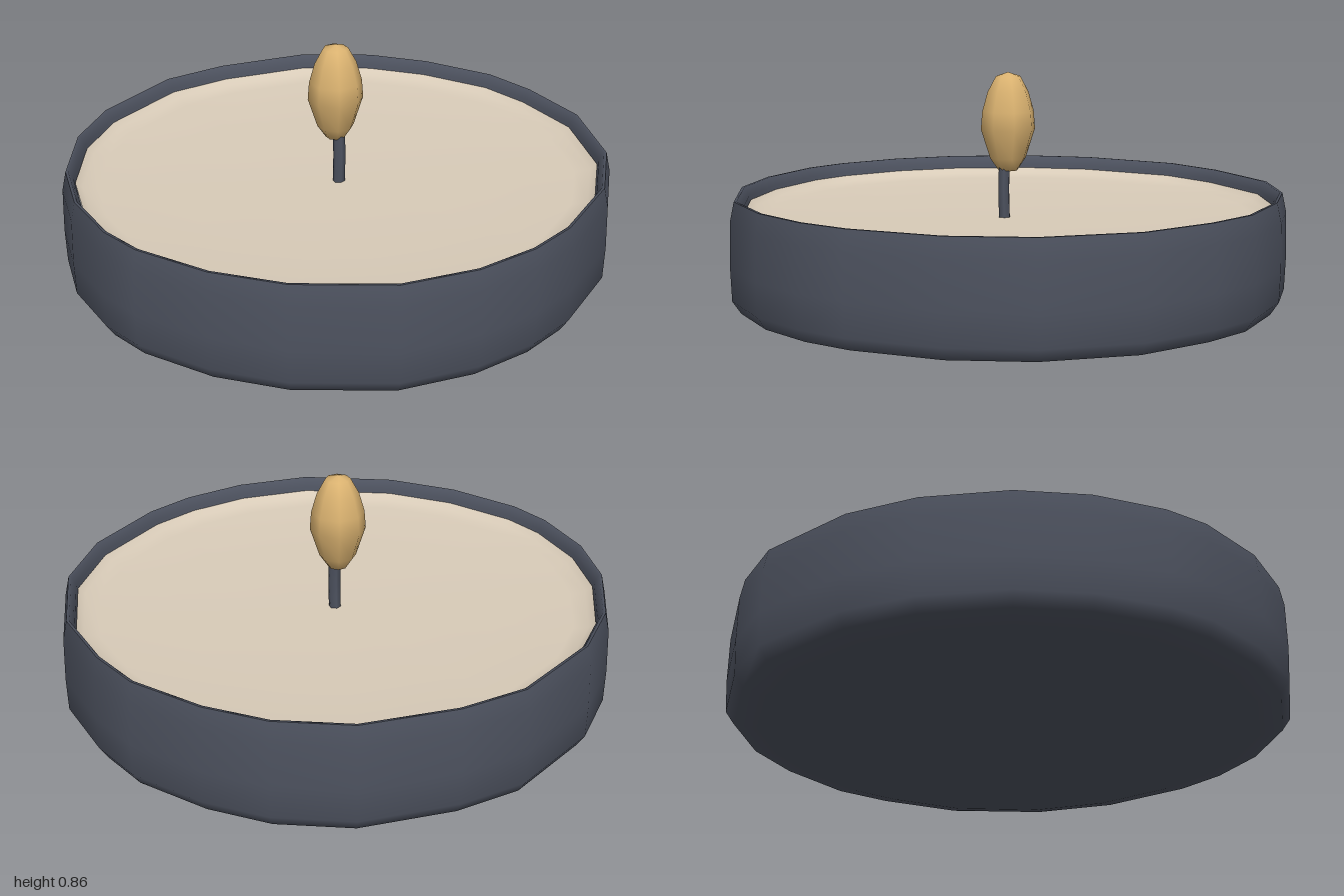
import * as THREE from 'three';
import { mergeVertices } from 'three/addons/utils/BufferGeometryUtils.js';

// Slightly irregular, hand-shaped outline of the cup in x, z
const outline = [
  [0.04, -1.0], [0.25, -0.96], [0.53, -0.85], [0.79, -0.61], [0.93, -0.34], [0.985, 0.0], [0.97, 0.2],
  [0.9, 0.43], [0.75, 0.67], [0.46, 0.88], [0.2, 0.97], [-0.09, 0.995], [-0.26, 0.965], [-0.5, 0.86],
  [-0.7, 0.7], [-0.88, 0.45], [-0.97, 0.2], [-0.985, -0.18], [-0.9, -0.42], [-0.71, -0.72],
  [-0.48, -0.885], [-0.25, -0.965],
];

// Skin a list of [scale, y] rings of the outline
function loft(rings) {
  const n = outline.length, pos = [], idx = [];
  for (const [s, y] of rings) for (const [x, z] of outline) pos.push(x * s, y, z * s);
  for (let r = 0; r < rings.length - 1; r++) {
    for (let i = 0; i < n; i++) {
      const a = r * n + i, b = r * n + (i + 1) % n;
      if (rings[r][0] > 0) idx.push(a, a + n, b);
      if (rings[r + 1][0] > 0) idx.push(b, a + n, b + n);
    }
  }
  let g = new THREE.BufferGeometry();
  g.setAttribute('position', new THREE.Float32BufferAttribute(pos, 3));
  g.setIndex(idx);
  g = mergeVertices(g);
  g.computeVertexNormals();
  return g;
}

export function createModel() {
  const metal = new THREE.MeshStandardMaterial({ color: 0x4d525f });
  const wax = new THREE.MeshStandardMaterial({ color: 0xd8cbb8 });
  const flame = new THREE.MeshStandardMaterial({ color: 0xdab270 });
  metal.name = 'darkMetal';
  wax.name = 'creamWax';
  flame.name = 'amberFlame';

  const group = new THREE.Group();
  group.name = 'tealight';
  const add = (name, geometry, material) => {
    const mesh = new THREE.Mesh(geometry, material);
    mesh.name = name;
    group.add(mesh);
    return mesh;
  };

  // Cup: outside with rounded foot, then rim and inner wall
  add('cupOutside', loft([[0, 0], [0.6, 0.004], [0.87, 0.012], [0.965, 0.035], [0.995, 0.08],
    [1, 0.2], [0.997, 0.36], [0.982, 0.432]]), metal);
  add('cupInside', loft([[0.982, 0.432], [0.972, 0.432], [0.955, 0.4], [0.945, 0.33]]), metal);

  // Wax pool, rising gently against the wall
  add('wax', loft([[0.95, 0.385], [0.925, 0.366], [0.87, 0.354], [0.6, 0.342], [0.3, 0.337], [0, 0.335]]), wax);

  // Wick
  const path = new THREE.CatmullRomCurve3([
    new THREE.Vector3(0.012, 0.32, 0.004),
    new THREE.Vector3(0.016, 0.43, 0.005),
    new THREE.Vector3(0.012, 0.56, 0.004),
  ]);
  add('wick', new THREE.TubeGeometry(path, 4, 0.022, 6), metal);

  // Flame: eight-sided teardrop
  const profile = [[0, 0.5], [0.035, 0.505], [0.066, 0.55], [0.1, 0.655], [0.095, 0.72], [0.075, 0.79],
    [0.045, 0.845], [0, 0.86]].map(([r, y]) => new THREE.Vector2(r, y));
  add('flame', new THREE.LatheGeometry(profile, 8), flame).position.x = -0.005;

  return group;
}
